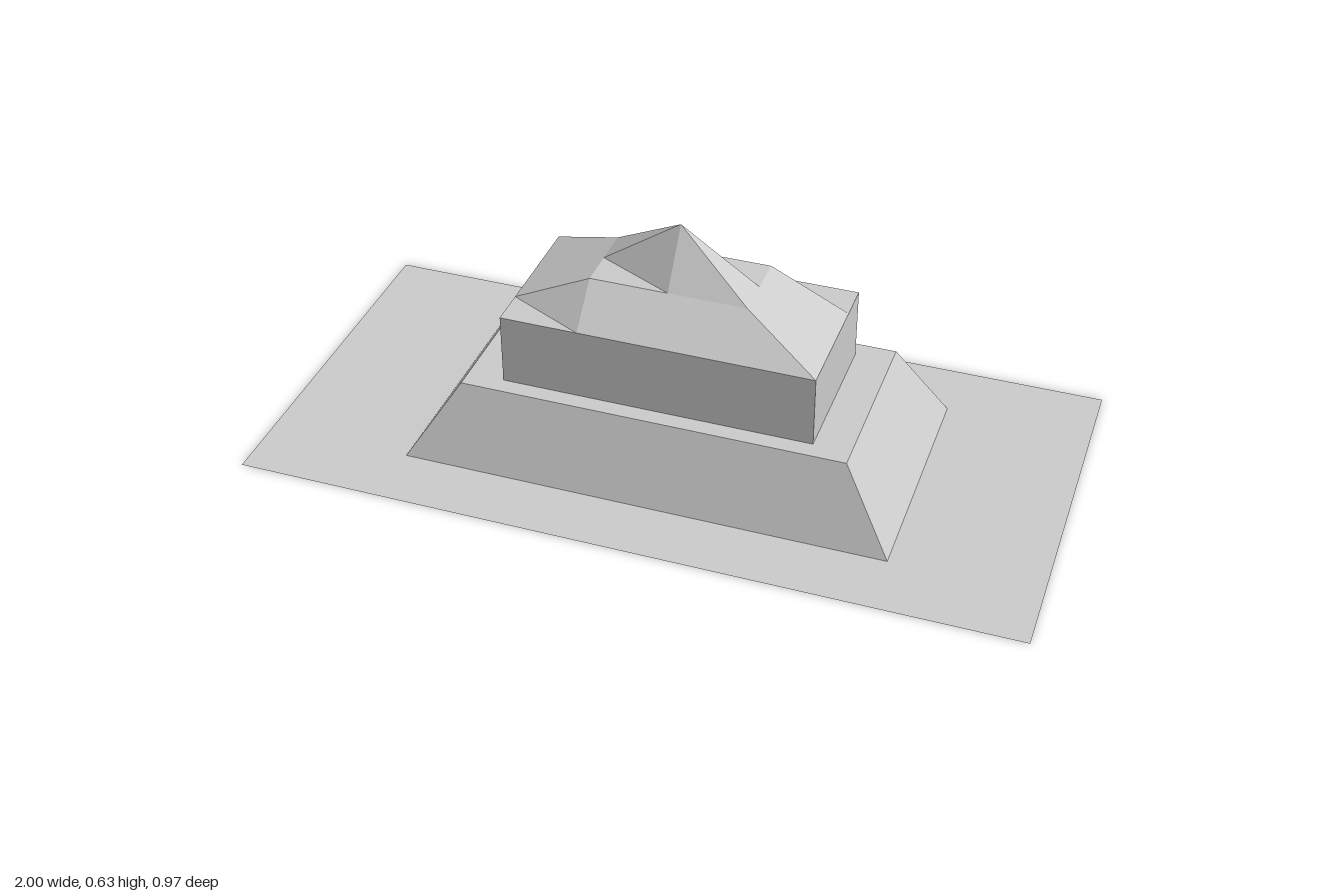
import * as THREE from 'three';

const material = new THREE.MeshStandardMaterial({
  color: 0xcccccc, flatShading: true, side: THREE.DoubleSide,
});

// Four-sided band joining two rectangles, each given as [halfX, y, halfZ]
function band(name, outer, inner) {
  const corner = ([x, y, z], i) => {
    const [sx, sz] = [[1, 1], [1, -1], [-1, -1], [-1, 1]][i % 4];
    return [x * sx, y, z * sz];
  };
  const points = [];
  for (let i = 0; i < 4; i++) {
    const a = corner(outer, i), b = corner(outer, i + 1);
    const c = corner(inner, i + 1), d = corner(inner, i);
    points.push(...a, ...b, ...c, ...a, ...c, ...d);
  }
  const geometry = new THREE.BufferGeometry();
  geometry.setAttribute('position', new THREE.Float32BufferAttribute(points, 3));
  geometry.computeVertexNormals();
  const mesh = new THREE.Mesh(geometry, material);
  mesh.name = name;
  return mesh;
}

// Faceted roof: a 4 x 4 grid raised in concentric steps towards the peak
function roof() {
  const geometry = new THREE.PlaneGeometry(0.39, 0.8, 4, 4);
  geometry.rotateX(-Math.PI / 2).rotateY(Math.PI / 2);
  const heights = [0.627, 0.49, 0.393];
  const p = geometry.attributes.position;
  for (let i = 0; i < p.count; i++) {
    const ring = Math.round(Math.max(Math.abs(p.getX(i)) / 0.2, Math.abs(p.getZ(i)) / 0.0975));
    p.setY(i, heights[ring]);
  }
  const flat = geometry.toNonIndexed();
  flat.computeVertexNormals();
  const mesh = new THREE.Mesh(flat, material);
  mesh.name = 'roof';
  return mesh;
}

export function createModel() {
  const group = new THREE.Group();
  group.name = 'building';

  // Outlines from the ground up; the inside is hollow and open below
  const plot = [1, 0, 0.485];
  const baseFoot = [0.625, 0, 0.317];
  const baseTop = [0.495, 0.205, 0.24];
  const wallFoot = [0.4, 0.205, 0.195];
  const wallTop = [0.4, 0.393, 0.195];

  group.add(
    band('ground', plot, baseFoot),
    band('slopedBase', baseFoot, baseTop),
    band('ledge', baseTop, wallFoot),
    band('walls', wallFoot, wallTop),
    roof(),
  );
  return group;
}
